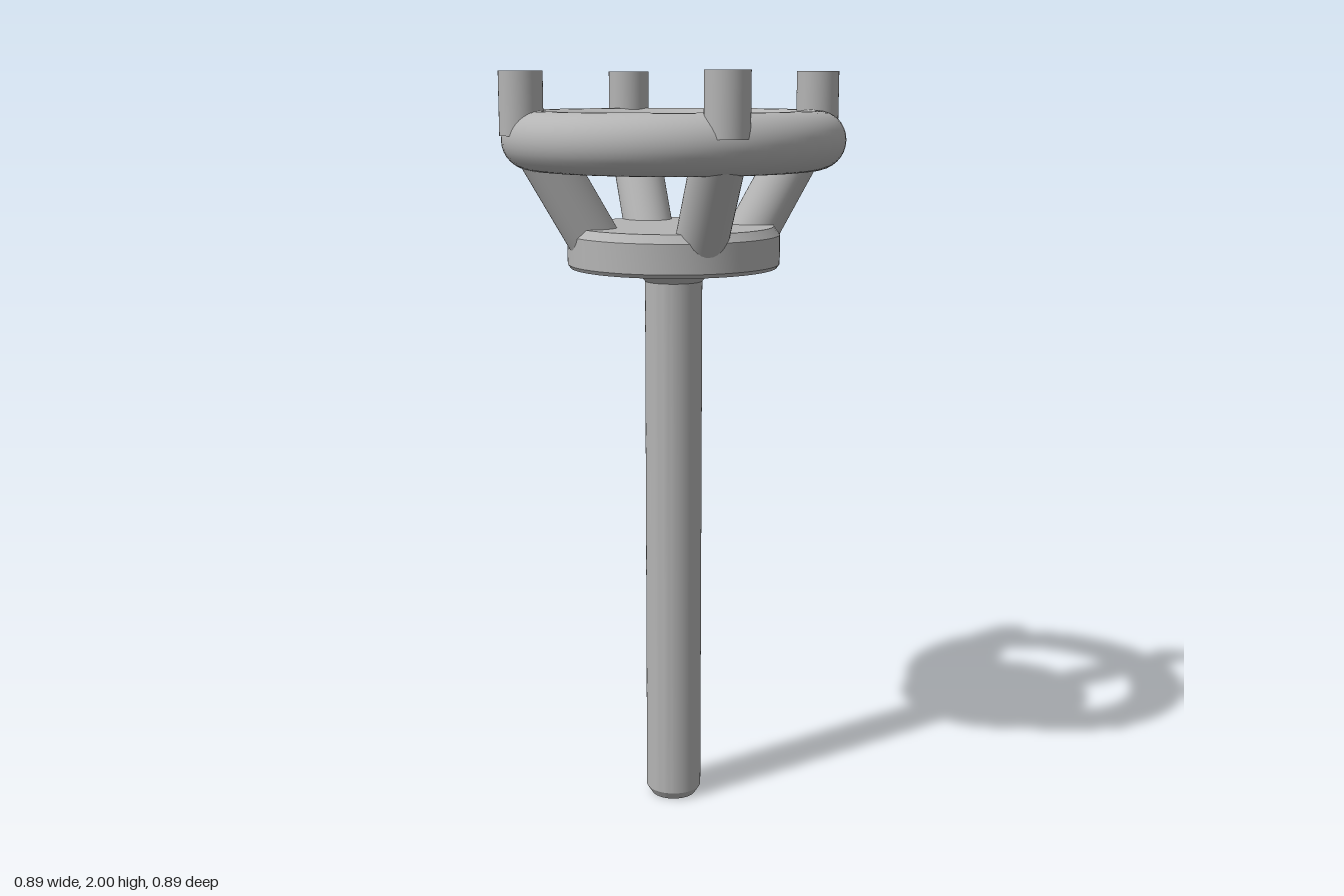
import * as THREE from 'three';
import { toCreasedNormals } from 'three/addons/utils/BufferGeometryUtils.js';

export function createModel() {
  const model = new THREE.Group();
  model.name = 'ringHolder';
  const grey = new THREE.MeshStandardMaterial({ color: 0xb4b4b4 });
  grey.name = 'plain grey';

  const add = (name, geometry) => {
    const mesh = new THREE.Mesh(geometry, grey);
    mesh.name = name;
    model.add(mesh);
    return mesh;
  };
  // Turned part with crisp chamfers; profile runs bottom to top as [radius, y]
  const turned = (profile) => toCreasedNormals(
    new THREE.LatheGeometry(profile.map(([r, y]) => new THREE.Vector2(r, y)), 64), 0.4);
  // Round bar between two points
  const bar = (name, from, to, radius) => {
    const axis = to.clone().sub(from);
    const mesh = add(name, new THREE.CylinderGeometry(radius, radius, axis.length(), 40));
    mesh.position.copy(from).add(to).multiplyScalar(0.5);
    mesh.quaternion.setFromUnitVectors(new THREE.Vector3(0, 1, 0), axis.normalize());
  };

  // Shaft with chamfered foot and flared collar
  add('shaft', turned([[0, 0], [0.062, 0], [0.076, 0.022], [0.076, 1.458],
    [0.097, 1.48], [0.097, 1.5], [0, 1.5]]));

  // Base plate with chamfered rims
  add('plate', turned([[0, 1.496], [0.273, 1.496], [0.28, 1.506], [0.28, 1.582],
    [0.264, 1.604], [0, 1.604]]));

  // Ring
  const ring = add('ring', new THREE.TorusGeometry(0.372, 0.075, 32, 96));
  ring.rotation.x = Math.PI / 2;
  ring.position.y = 1.826;

  // Four leaning struts and upright pegs on the diagonals
  for (let i = 0; i < 4; i++) {
    const a = Math.PI / 4 + i * Math.PI / 2;
    const at = (r, y) => new THREE.Vector3(r * Math.cos(a), y, r * Math.sin(a));
    bar('strut' + (i + 1), at(0.198, 1.54), at(0.366, 1.826), 0.067);
    bar('peg' + (i + 1), at(0.404, 1.84), at(0.404, 2), 0.056);
  }
  return model;
}
